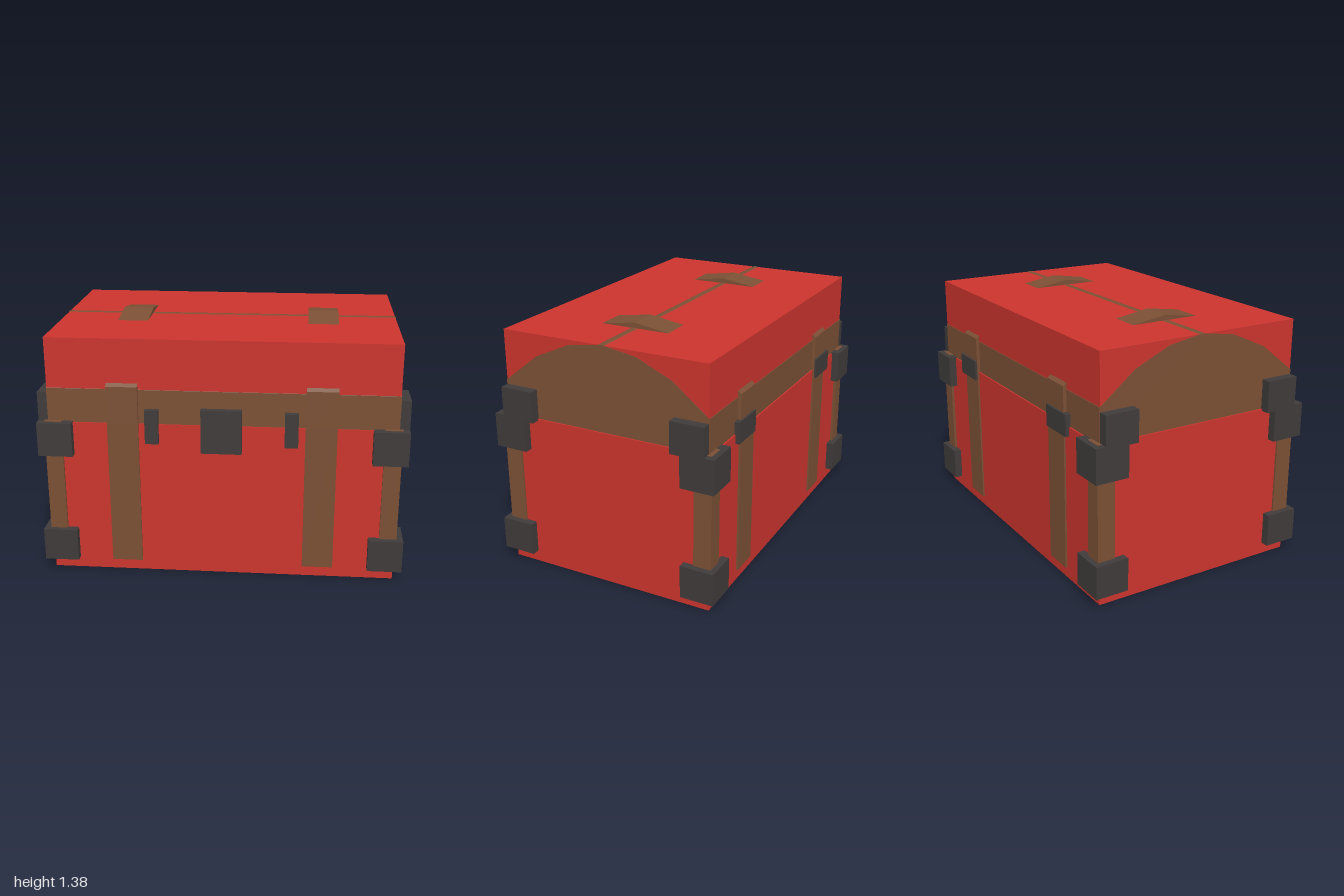
import * as THREE from 'three';

const red = new THREE.MeshStandardMaterial({ color: 0xcc342d });
red.name = 'red paint';
const brown = new THREE.MeshStandardMaterial({ color: 0x7b5035 });
brown.name = 'brown leather';
const iron = new THREE.MeshStandardMaterial({ color: 0x403b3b });
iron.name = 'dark iron';

export function createModel() {
  const chest = new THREE.Group();
  chest.name = 'chest';

  const add = (name, geometry, material) => {
    const mesh = new THREE.Mesh(geometry, material);
    mesh.name = name;
    chest.add(mesh);
    return mesh;
  };

  // Box given by its lower and upper limits on each axis
  const block = (name, material, [x0, x1], [y0, y1], [z0, z1]) => {
    const mesh = add(name, new THREE.BoxGeometry(x1 - x0, y1 - y0, z1 - z0), material);
    mesh.position.set((x0 + x1) / 2, (y0 + y1) / 2, (z0 + z1) / 2);
    return mesh;
  };

  // Same limits flipped to the other side when s is -1
  const side = (s, a, b) => (s > 0 ? [a, b] : [-b, -a]);

  // Faceted arch along x from half a profile of [z, y] points, mirrored in z
  const arch = (name, half, x0, x1) => {
    const mirrored = half.slice(0, -1).reverse().map(([z, y]) => [-z, y]);
    const shape = new THREE.Shape([...half, ...mirrored].map(([z, y]) => new THREE.Vector2(-z, y)));
    const geometry = new THREE.ExtrudeGeometry(shape, { depth: x1 - x0, bevelEnabled: false });
    geometry.rotateY(Math.PI / 2);
    geometry.translate(x0, 0, 0);
    return add(name, geometry, brown);
  };

  // Body and square lid
  block('body', red, [-0.955, 0.955], [0, 0.88], [-0.61, 0.61]);
  block('lid', red, [-0.945, 0.945], [0.88, 1.35], [-0.6, 0.6]);

  // Curved lid core showing at the ends, lower sides and ridge
  arch('lidArch', [[0.602, 0.88], [0.602, 1.07], [0.4, 1.23], [0.2, 1.32], [0, 1.353]], -0.947, 0.947);

  for (const sx of [1, -1]) {
    // Straps over the lid and down the front and back
    const strapX = side(sx, 0.45, 0.62);
    arch('lidStrap', [[0.62, 0.88], [0.62, 1.09], [0.4, 1.26], [0.2, 1.35], [0, 1.38]], ...strapX);

    for (const sz of [1, -1]) {
      block('bodyStrap', brown, strapX, [0.06, 0.88], side(sz, 0.59, 0.62));

      // Corner post, iron caps, lid corner and base pad
      block('cornerPost', brown, side(sx, 0.87, 0.965), [0.06, 0.887], side(sz, 0.525, 0.625));
      for (const y of [[0.065, 0.25], [0.695, 0.885]]) {
        block('cornerCap', iron, side(sx, 0.81, 1), y, side(sz, 0.465, 0.655));
      }
      block('lidCorner', iron, side(sx, 0.9, 1), [0.87, 1.045], side(sz, 0.41, 0.6));
      block('basePad', brown, side(sx, 0.755, 0.905), [-0.001, 0.004], side(sz, 0.405, 0.555));
    }

    // Small front latch and rear hinge
    block('latch', iron, side(sx, 0.34, 0.413), [0.775, 0.965], [0.59, 0.635]);
    block('hinge', iron, side(sx, 0.455, 0.66), [0.83, 0.95], [-0.632, -0.59]);
  }

  // Central lock plate with a small raised keyhole guard
  block('lockPlate', iron, [-0.11, 0.11], [0.73, 0.975], [0.59, 0.638]);
  block('keyholeGuard', iron, [-0.008, 0.012], [0.8, 0.87], [0.636, 0.641]);

  return chest;
}
